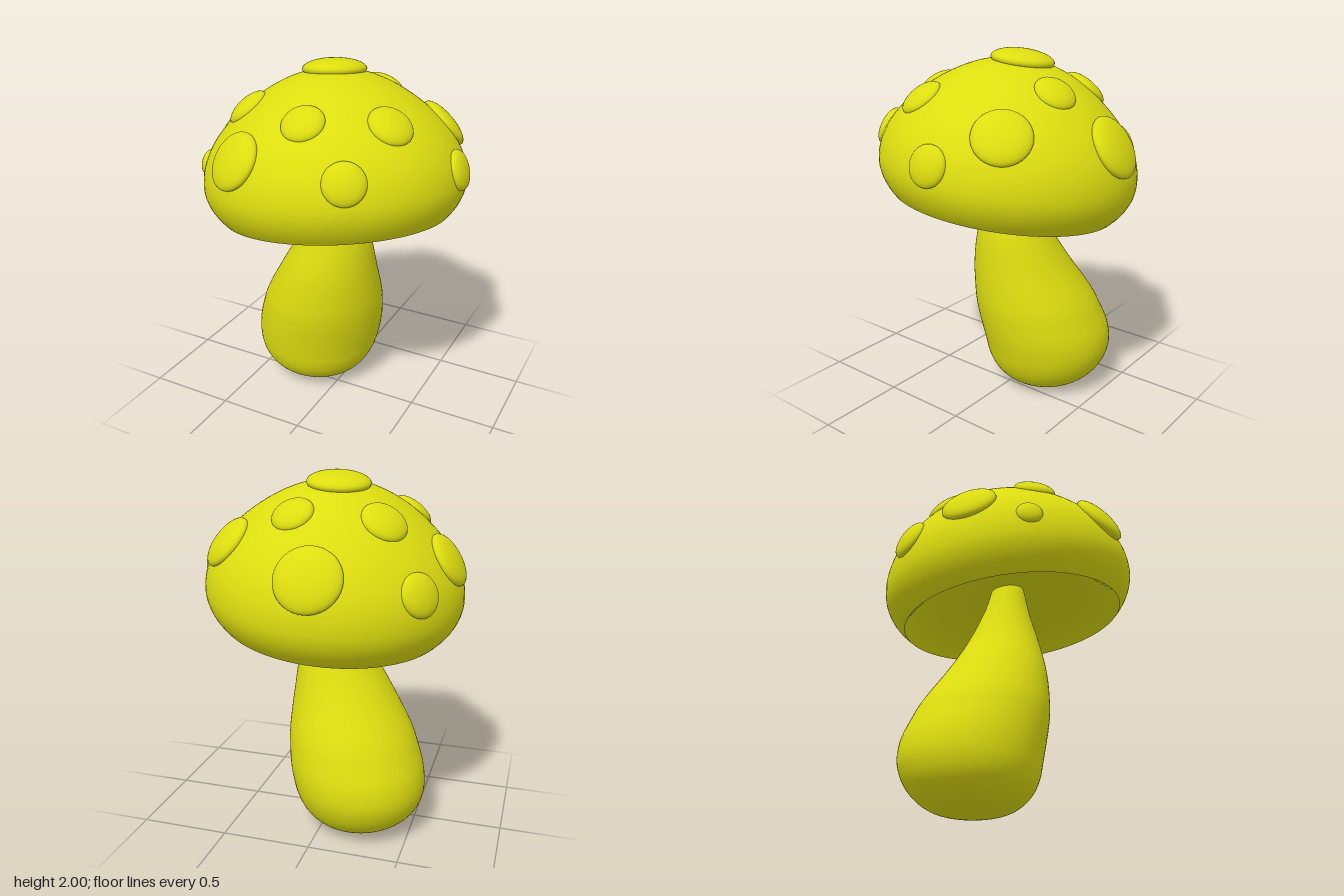
import * as THREE from 'three';
import { mergeVertices } from 'three/addons/utils/BufferGeometryUtils.js';

const CAP_R = 0.715, CAP_H = 0.592; // dome radii
const UP = new THREE.Vector3(0, 1, 0);

// Stem: a lathe whose rings are shifted along a leaning centre line
function stemGeometry() {
  // centre x, y, centre z, radius
  const rings = [
    [-0.19, 0.003, -0.13, 0], [-0.19, 0.01, -0.13, 0.1], [-0.19, 0.03, -0.127, 0.195],
    [-0.195, 0.07, -0.127, 0.267], [-0.2, 0.13, -0.13, 0.323], [-0.2, 0.2, -0.135, 0.357],
    [-0.195, 0.28, -0.138, 0.374], [-0.178, 0.38, -0.128, 0.378], [-0.152, 0.49, -0.104, 0.366],
    [-0.125, 0.6, -0.08, 0.344], [-0.07, 0.8, -0.035, 0.277], [-0.022, 1.0, -0.012, 0.205],
    [-0.012, 1.2, 0.004, 0.133], [-0.005, 1.36, 0.01, 0.093], [0, 1.48, 0.01, 0.05], [0, 1.5, 0.01, 0],
  ];
  const centre = new THREE.CatmullRomCurve3(
    rings.map(([x, y, z]) => new THREE.Vector3(x, y, z)), false, 'catmullrom');
  const radius = new THREE.CatmullRomCurve3(
    rings.map((r) => new THREE.Vector3(r[3], 0, 0)), false, 'catmullrom');
  const steps = 75;
  const mids = centre.getPoints(steps);
  const profile = radius.getPoints(steps).map((p, i) => new THREE.Vector2(Math.max(p.x, 0), mids[i].y));
  const geo = new THREE.LatheGeometry(profile, 64);
  const pos = geo.attributes.position;
  for (let i = 0; i < pos.count; i++) {
    const m = mids[i % (steps + 1)];
    pos.setXYZ(i, pos.getX(i) + m.x, pos.getY(i), pos.getZ(i) + m.z);
  }
  geo.deleteAttribute('uv');
  geo.deleteAttribute('normal');
  const smooth = mergeVertices(geo, 1e-5);
  smooth.computeVertexNormals();
  return smooth;
}

// Cap outline at angle a: slightly slimmed dome above, rounded skirt below
function capPoint(a) {
  const slim = a > 0 ? 1 - 0.05 * Math.sin(2 * a) ** 2 : 1;
  const height = a > 0 ? CAP_H : 0.4;
  return new THREE.Vector2(Math.max(CAP_R * slim * Math.cos(a), 0), height * slim * Math.sin(a));
}

const RIM_ANGLE = -0.51;

function capGeometry() {
  const profile = [];
  for (let i = 0; i <= 56; i++) {
    profile.push(capPoint(THREE.MathUtils.lerp(RIM_ANGLE, Math.PI / 2, i / 56)));
  }
  return new THREE.LatheGeometry(profile, 80);
}

// Shallow bowl under the cap, meeting the rim in a sharp edge
function undersideGeometry() {
  const v = (x, y) => new THREE.Vector2(x, y);
  const bowl = new THREE.SplineCurve([
    v(0, 0), v(0.2, -0.012), v(0.4, -0.06), v(0.54, -0.125), capPoint(RIM_ANGLE),
  ]);
  return new THREE.LatheGeometry(bowl.getPoints(24), 80);
}

export function createModel() {
  const yellow = new THREE.MeshStandardMaterial({ color: 0xdddd10 });
  yellow.name = 'mushroomYellow';
  const model = new THREE.Group();
  model.name = 'mushroom';

  const add = (parent, name, geometry) => {
    const mesh = new THREE.Mesh(geometry, yellow);
    mesh.name = name;
    parent.add(mesh);
    return mesh;
  };

  add(model, 'stem', stemGeometry());

  // The cap leans slightly to the back and to one side
  const head = new THREE.Group();
  head.name = 'head';
  head.position.set(-0.005, 1.36, 0.014);
  head.quaternion.setFromUnitVectors(UP, new THREE.Vector3(-0.1, 1, -0.1).normalize());
  head.updateMatrixWorld(true);
  model.add(head);
  add(head, 'cap', capGeometry());
  add(head, 'underside', undersideGeometry());

  // Spots: x, y, z, radius, each set flat against the dome
  const spots = [
    [-0.045, 1.97, -0.055, 0.172], [-0.055, 1.54, -0.61, 0.172], [-0.565, 1.45, -0.4, 0.115],
    [-0.36, 1.80, -0.28, 0.125], [0.108, 1.82, -0.375, 0.112], [0.47, 1.64, -0.318, 0.152],
    [-0.64, 1.56, -0.03, 0.152], [0.68, 1.5, -0.028, 0.108], [-0.638, 1.435, 0.3, 0.07],
    [-0.382, 1.765, 0.268, 0.117], [0.415, 1.765, 0.25, 0.118], [0.056, 1.78, 0.457, 0.11],
    [-0.246, 1.585, 0.585, 0.155], [0.332, 1.565, 0.572, 0.108],
  ];
  const button = new THREE.SphereGeometry(1, 40, 24);
  for (const [x, y, z, r] of spots) {
    const p = head.worldToLocal(new THREE.Vector3(x, y, z));
    const turn = Math.atan2(p.z, p.x);
    const a = Math.atan2(p.y / CAP_H, Math.hypot(p.x, p.z) / CAP_R);
    const at = capPoint(a);
    const along = capPoint(a + 0.01).sub(capPoint(a - 0.01)).normalize();
    const around = (q) => new THREE.Vector3(q.x * Math.cos(turn), q.y, q.x * Math.sin(turn));
    const normal = around(new THREE.Vector2(along.y, -along.x));
    const spot = add(head, 'spot', button);
    spot.scale.set(r, 0.025 + r * 0.19, r);
    spot.quaternion.setFromUnitVectors(UP, normal);
    spot.position.copy(around(at)).addScaledVector(normal, -0.008);
  }
  return model;
}
